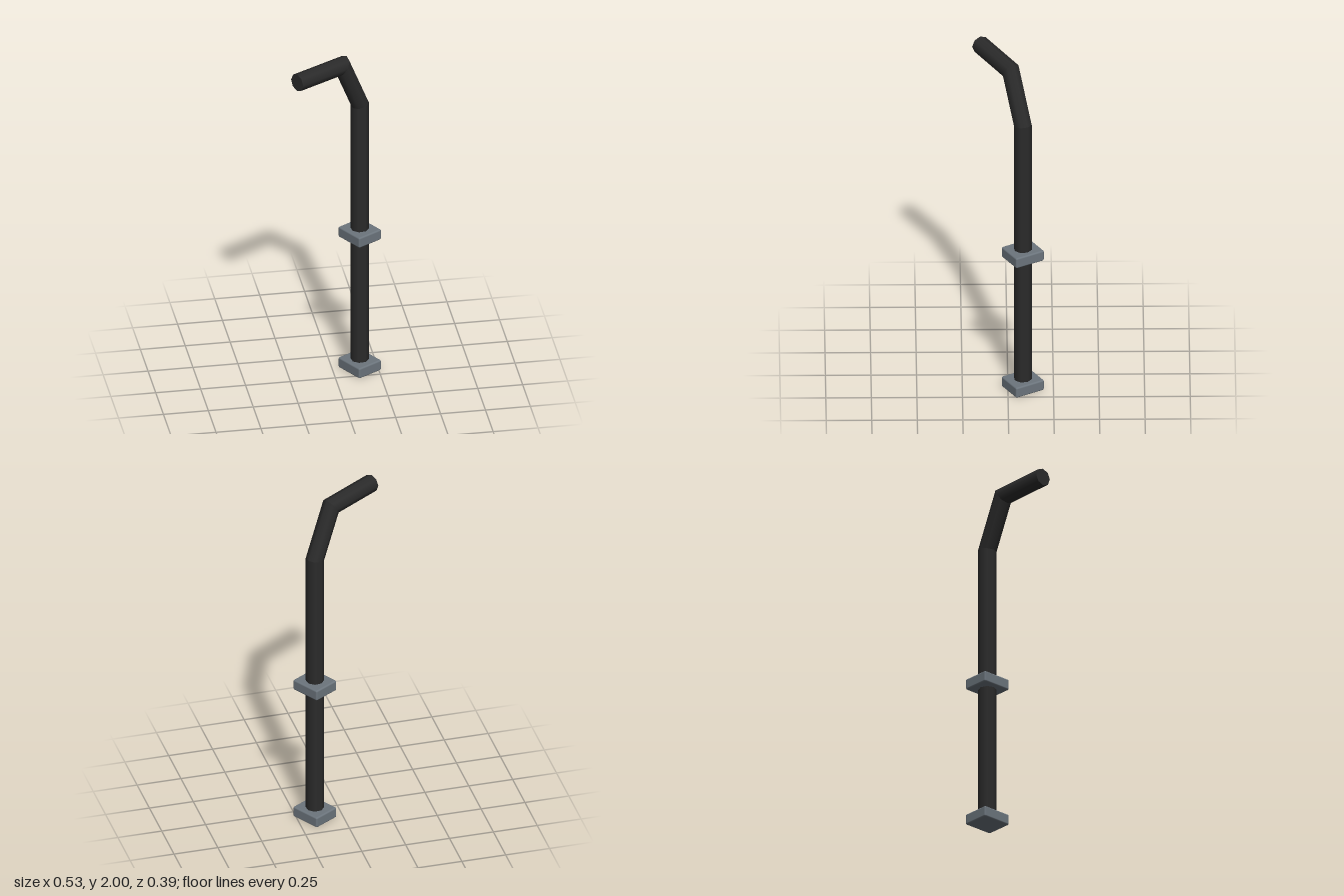
import * as THREE from 'three';
import { RoundedBoxGeometry } from 'three/addons/geometries/RoundedBoxGeometry.js';

const pipeBlack = new THREE.MeshStandardMaterial({ color: 0x2b2b2b });
pipeBlack.name = 'pipe black';
const bracketGrey = new THREE.MeshStandardMaterial({ color: 0x6c757d });
bracketGrey.name = 'bracket grey';

const RADIUS = 0.0505;

// One straight eight-sided length of pipe, its ends cut to the mitre slopes
function pipeSegment(name, a, b, startSlope, endSlope) {
  const dir = b.clone().sub(a);
  const length = dir.length();
  const geo = new THREE.CylinderGeometry(RADIUS, RADIUS, length, 8);
  const pos = geo.attributes.position;
  for (let i = 0; i < pos.count; i++) {
    const x = pos.getX(i), y = pos.getY(i);
    pos.setY(i, y > 0 ? y - x * endSlope : y + x * startSlope);
  }
  const mesh = new THREE.Mesh(geo, pipeBlack);
  mesh.name = name;
  mesh.position.set((a.x + b.x) / 2, (a.y + b.y) / 2, 0);
  mesh.rotation.z = -Math.atan2(dir.x, dir.y);
  return mesh;
}

export function createModel() {
  const model = new THREE.Group();
  model.name = 'bentPipe';

  // Local +x runs along the outlet arm
  const assembly = new THREE.Group();
  assembly.name = 'pipeAssembly';
  assembly.position.set(0.15, 0, -0.082);
  assembly.rotation.y = Math.PI + 0.537;
  model.add(assembly);

  // Pipe: column, slanted neck and outlet arm
  const path = [[0, 0.005], [0, 1.66], [0.128, 1.943], [0.452, 1.951]]
    .map(([x, y]) => new THREE.Vector2(x, y));
  const names = ['column', 'neck', 'outletArm'];
  const tilt = names.map((_, i) =>
    Math.atan2(path[i + 1].x - path[i].x, path[i + 1].y - path[i].y));
  const slope = [0, Math.tan((tilt[1] - tilt[0]) / 2), Math.tan((tilt[2] - tilt[1]) / 2), 0];
  names.forEach((name, i) =>
    assembly.add(pipeSegment(name, path[i], path[i + 1], slope[i], slope[i + 1])));

  // Mounting blocks at the foot and partway up
  for (const [name, y] of [['footBlock', 0.0315], ['middleBlock', 0.849]]) {
    const block = new THREE.Mesh(new RoundedBoxGeometry(0.16, 0.063, 0.18, 3, 0.009), bracketGrey);
    block.name = name;
    block.position.y = y;
    assembly.add(block);
  }
  return model;
}
